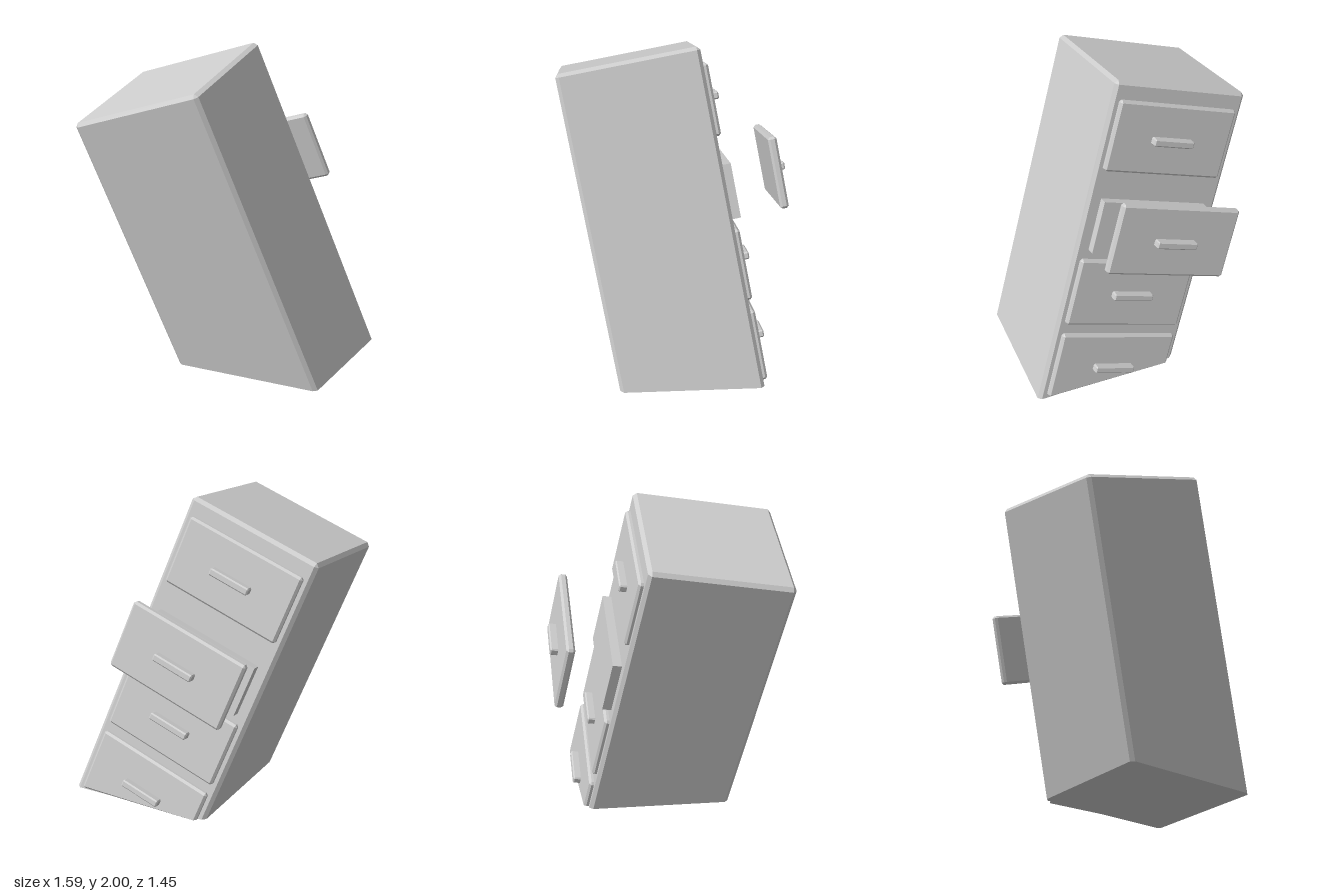
import * as THREE from 'three';
import { ConvexGeometry } from 'three/addons/geometries/ConvexGeometry.js';

const grey = new THREE.MeshStandardMaterial({ color: 0xcccccc });
grey.name = 'grey metal';

// Tilted frame of the cabinet; its origin is the middle of the top panel
const origin = new THREE.Vector3(-0.364, 1.797, 0.245);
const across = new THREE.Vector3(0.94, 0.32, 0.1).normalize();
const up = new THREE.Vector3(-0.04, -0.16, 0.985).cross(across).normalize();
const out = new THREE.Vector3().crossVectors(across, up);

// Local height of the ground under a point of the tilted frame
const groundAt = (x, z) => -(origin.y + across.y * x + out.y * z) / up.y;

// Chamfered block between two corners, cut off where it sinks into the ground
function block(name, min, max, c) {
  const mid = min.map((v, i) => (v + max[i]) / 2);
  const half = min.map((v, i) => (max[i] - v) / 2);
  const points = [];
  for (const sx of [-1, 1]) for (const sy of [-1, 1]) for (const sz of [-1, 1]) {
    for (let full = 0; full < (c > 0 ? 3 : 1); full++) {
      const [x, y, z] = [sx, sy, sz].map((s, i) => mid[i] + s * (half[i] - (i === full ? 0 : c)));
      points.push(new THREE.Vector3(x, Math.max(y, groundAt(x, z)), z));
    }
  }
  const mesh = new THREE.Mesh(new ConvexGeometry(points), grey);
  mesh.name = name;
  return mesh;
}

export function createModel() {
  const model = new THREE.Group();
  model.name = 'sunkenFilingCabinet';

  const cabinet = new THREE.Group();
  cabinet.name = 'cabinet';
  cabinet.position.copy(origin);
  cabinet.quaternion.setFromRotationMatrix(new THREE.Matrix4().makeBasis(across, up, out));
  model.add(cabinet);

  cabinet.add(block('body', [-0.4475, -2.8, -0.4425], [0.4475, 0, 0.4425], 0.022));

  // Four drawers on the back side, the second one pulled out
  const pitch = 0.52;
  for (let i = 0; i < 4; i++) {
    const top = -0.11 - i * pitch;
    const pull = i === 1 ? 0.327 : 0;
    const drawer = new THREE.Group();
    drawer.name = 'drawer' + (i + 1);
    drawer.add(block('drawerFront',
      [-0.4, top - 0.45, -0.473 - pull], [0.4, top, -0.419 - pull], 0.014));
    drawer.add(block('handle',
      [-0.137, top - 0.252, -0.521 - pull], [0.137, top - 0.205, -0.465 - pull], 0.008));
    cabinet.add(drawer);
  }

  // Inner box left standing behind the open drawer front
  cabinet.add(block('drawerBox', [-0.36, -1.087, -0.499], [0.36, -0.744, -0.4], 0));

  return model;
}
